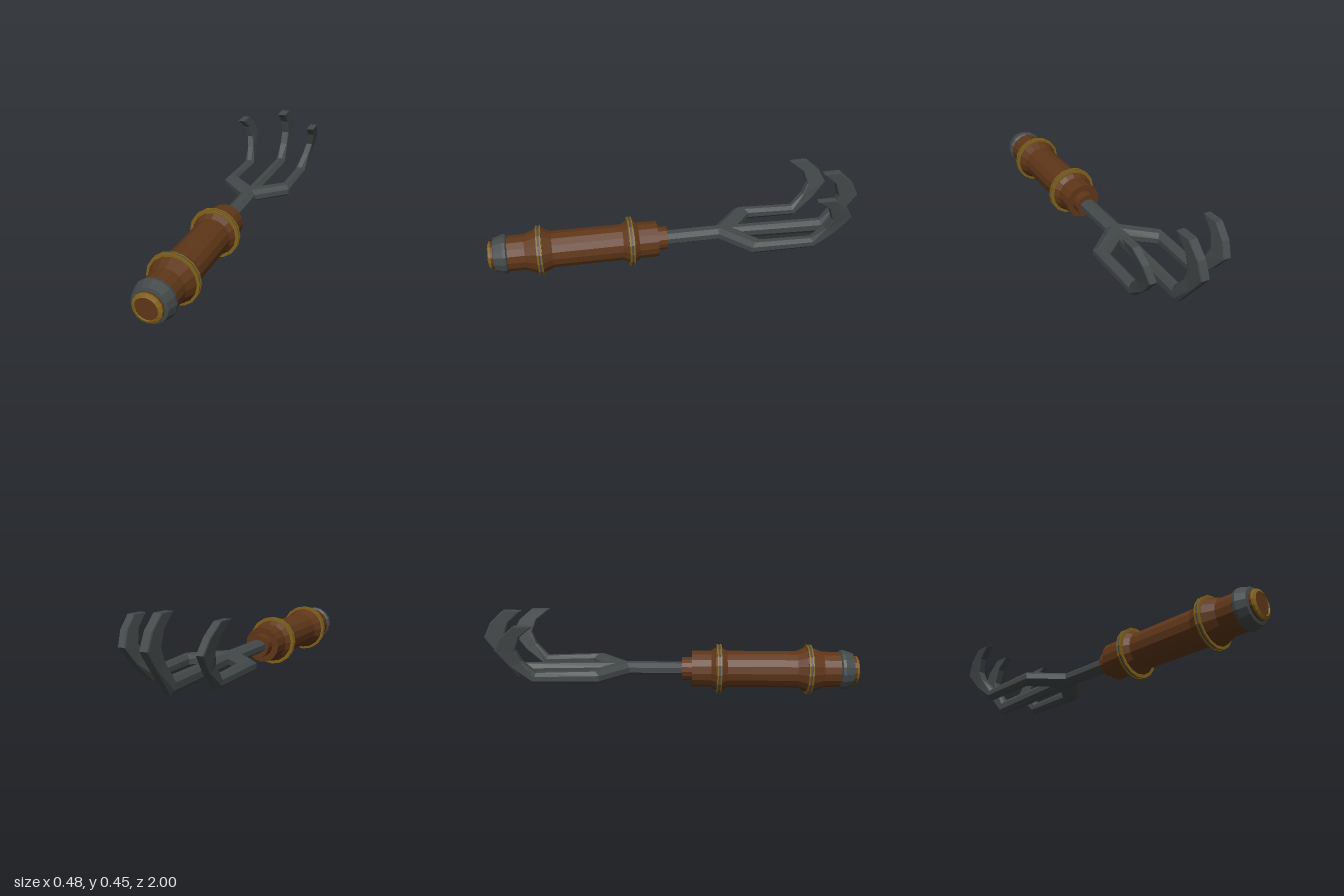
import * as THREE from 'three';

const paint = (color) => new THREE.MeshStandardMaterial({ color, flatShading: true });
const wood = paint(0x5e3618), metal = paint(0x434848), gold = paint(0x80611a);
const AXIS = 0.136; // height of the handle's centre line

// Turned part along z; profile is [radius, z] from back to front
function turned(name, profile, material) {
  const geo = new THREE.LatheGeometry(profile.map(([r, z]) => new THREE.Vector2(r, z)), 16);
  geo.rotateX(Math.PI / 2);
  const mesh = new THREE.Mesh(geo, material);
  mesh.name = name;
  mesh.position.y = AXIS;
  return mesh;
}

// Bar lofted through stations { x, top:[z,y], bottom:[z,y], w:[dx,dz], k }
// w is the half-width vector, k the size of the flats (the rest is chamfer)
function bar(name, stations, side = 1) {
  const pos = [], idx = [], n = 8;
  for (const { x, top, bottom, w, k = 0.42 } of stations) {
    const cz = (top[0] + bottom[0]) / 2, cy = (top[1] + bottom[1]) / 2;
    const hz = (top[0] - bottom[0]) / 2, hy = (top[1] - bottom[1]) / 2;
    const wz = w[1] * side;
    const ring = [[1, -k], [1, k], [k, 1], [-k, 1], [-1, k], [-1, -k], [-k, -1], [k, -1]];
    for (const [a, b] of ring) pos.push(x * side + a * w[0], cy + b * hy, cz + b * hz + a * wz);
  }
  const last = (stations.length - 1) * n;
  for (let s = 0; s < last; s += n) {
    for (let i = 0; i < n; i++) {
      const j = (i + 1) % n;
      idx.push(s + i, s + n + i, s + j, s + j, s + n + i, s + n + j);
    }
  }
  for (let i = 1; i < n - 1; i++) idx.push(0, i, i + 1, last, last + i + 1, last + i);
  const geo = new THREE.BufferGeometry();
  geo.setAttribute('position', new THREE.Float32BufferAttribute(pos, 3));
  geo.setIndex(idx);
  geo.computeVertexNormals();
  const mesh = new THREE.Mesh(geo, metal);
  mesh.name = name;
  return mesh;
}

// Hooked tine, shared by all prongs: [inner z,y], [outer z,y], sideways lean
const hook = [
  [[-0.80, 0.16], [-0.825, 0.08], 0],
  [[-0.868, 0.235], [-0.925, 0.205], 0.3],
  [[-0.895, 0.305], [-1.0, 0.305], 0.55],
  [[-0.868, 0.385], [-0.962, 0.385], 0.8],
  [[-0.797, 0.448], [-0.893, 0.45], 1],
];

function tine(x, lean, dz, dy, halfWidth) {
  return hook.map(([a, b, t], i) => ({
    x: x + lean * t,
    top: [a[0] + dz, a[1] + dy * t],
    bottom: [b[0] + dz, b[1] + (i === 0 && dz ? 0.022 : dy * t)],
    w: [i === 0 ? 0.03 : halfWidth, 0],
    k: i === 0 ? 0.42 : 0.85,
  }));
}

export function createModel() {
  const model = new THREE.Group();

  // Wooden handle with two flared ridges and a front collar
  model.add(turned('handle', [
    [0, 0.06], [0.063, 0.06], [0.063, 0.112], [0.097, 0.112], [0.098, 0.215],
    [0.116, 0.24], [0.116, 0.272], [0.098, 0.3], [0.098, 0.67], [0.12, 0.72],
    [0.12, 0.75], [0.096, 0.81], [0.094, 0.92], [0, 0.92],
  ], wood));

  // Banded rings: two gold rims with a dark core
  for (const z of [0.257, 0.735]) {
    const ring = new THREE.Group();
    ring.name = 'handleRing';
    ring.add(turned('ringCore', [[0.1, z - 0.007], [0.131, z - 0.007], [0.131, z + 0.007], [0.1, z + 0.007]], metal));
    for (const c of [z - 0.009, z + 0.009]) {
      ring.add(turned('ringRim', [[0.1, c - 0.005], [0.134, c - 0.004], [0.134, c + 0.004], [0.1, c + 0.005]], gold));
    }
    model.add(ring);
  }

  // End cap, plug and its gold trim
  model.add(turned('endCap', [
    [0.09, 0.895], [0.104, 0.905], [0.106, 0.92], [0.09, 0.968], [0.074, 0.972], [0, 0.972],
  ], metal));
  model.add(turned('endPlug', [[0.074, 0.96], [0.074, 0.986], [0.056, 0.994], [0, 0.994]], wood));
  model.add(turned('plugTrim', [[0.075, 0.984], [0.073, 0.993], [0.058, 1.0], [0.055, 0.993]], gold));

  // Shaft
  model.add(bar('shaft', [
    { x: 0, top: [0.1, 0.17], bottom: [0.1, 0.104], w: [0.043, 0] },
    { x: 0, top: [-0.22, 0.17], bottom: [-0.22, 0.104], w: [0.043, 0] },
    { x: 0, top: [-0.29, 0.169], bottom: [-0.29, 0.102], w: [0.03, 0] },
  ]));

  // Middle prong
  model.add(bar('middleProng', [
    { x: 0, top: [-0.2, 0.17], bottom: [-0.2, 0.105], w: [0.033, 0] },
    ...tine(0.005, 0, 0, 0, 0.0225),
  ]));

  // Side prongs, mirrored
  for (const side of [1, -1]) {
    model.add(bar(side > 0 ? 'leftProng' : 'rightProng', [
      { x: 0.0, top: [-0.25, 0.17], bottom: [-0.25, 0.104], w: [0.02, 0.05] },
      { x: 0.168, top: [-0.4, 0.17], bottom: [-0.4, 0.104], w: [0.03, 0.034] },
      ...tine(0.166, 0.053, 0.107, -0.034, 0.0195),
    ], side));
  }
  return model;
}
